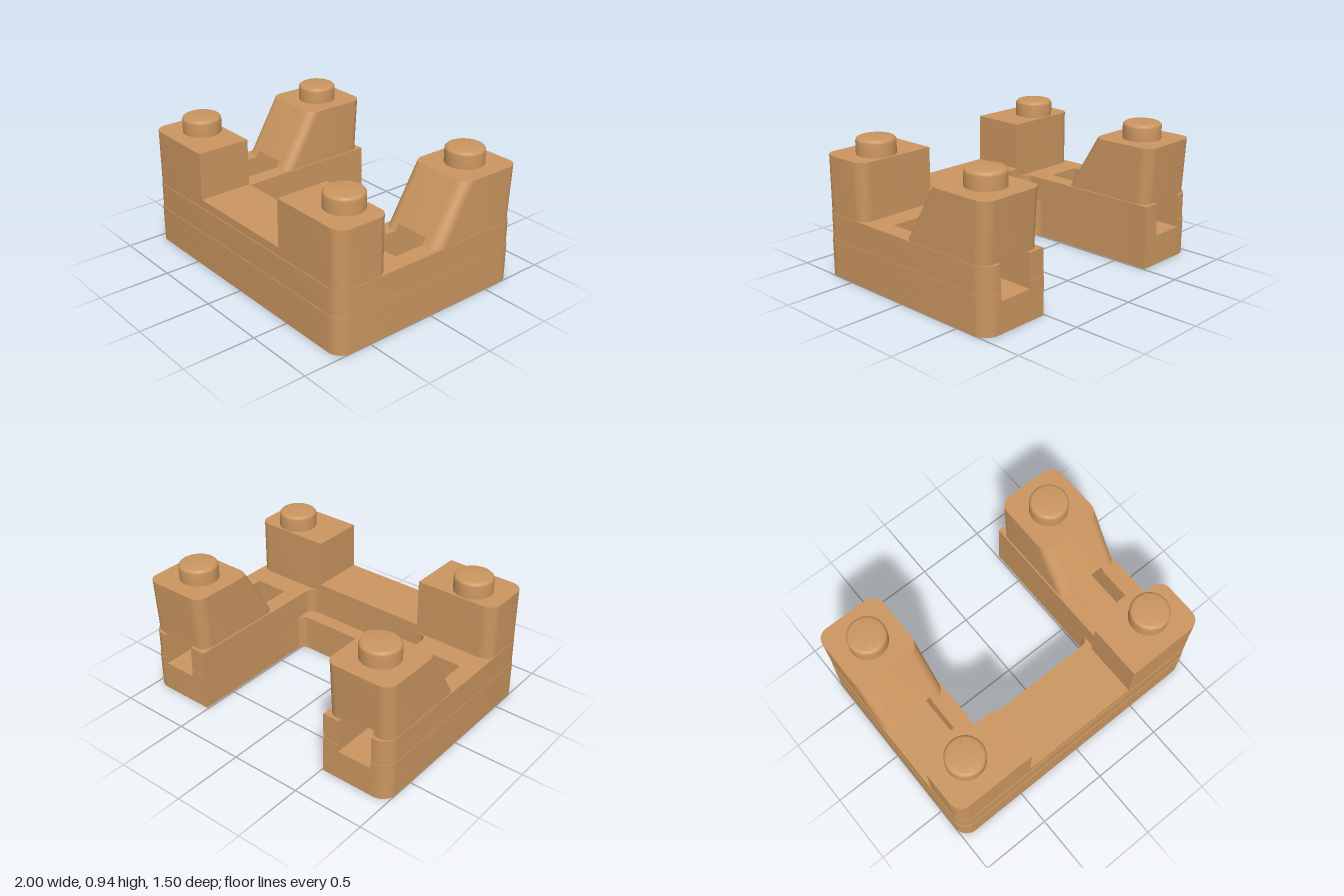
import * as THREE from 'three';
import { toCreasedNormals } from 'three/addons/utils/BufferGeometryUtils.js';

const K = 0.4477; // handle ratio for a circular corner

// Plan outline from [x, z, cornerRadius] points (shape y = -z)
function outline(points) {
  const s = new THREE.Shape();
  const v = points.map(([x, z]) => new THREE.Vector2(x, -z));
  const n = v.length;
  v.forEach((p, i) => {
    const r = points[i][2] || 0;
    const toward = (q, d) => p.clone().add(q.clone().sub(p).setLength(d));
    const prev = v[(i + n - 1) % n], next = v[(i + 1) % n];
    const a = r ? toward(prev, r) : p;
    if (i === 0) s.moveTo(a.x, a.y); else s.lineTo(a.x, a.y);
    if (r) {
      const b = toward(next, r), c1 = toward(prev, r * K), c2 = toward(next, r * K);
      s.bezierCurveTo(c1.x, c1.y, c2.x, c2.y, b.x, b.y);
    }
  });
  s.closePath();
  return s;
}

// Upright prism between two heights
function prism(shape, y0, y1) {
  const g = new THREE.ExtrudeGeometry(shape, { depth: y1 - y0, bevelEnabled: false, curveSegments: 10 });
  g.rotateX(-Math.PI / 2);
  g.translate(0, y0, 0);
  return g;
}

// Back post slice: front side leans back into a ramp, rear side leans out a little
function leaningPrism(shape, y0, y1) {
  const g = prism(shape, y0, y1);
  const p = g.attributes.position;
  for (let i = 0; i < p.count; i++) {
    const t = (p.getY(i) - 0.44) / 0.39;
    p.setZ(i, p.getZ(i) - t * (p.getZ(i) > -0.37 ? 0.235 : 0.022));
  }
  return g;
}

// Mirror half an outline (running from the back end to the inner corner) into a U.
// The optional channel opens at the back end of each arm.
function uOutline(x, back, front, innerZ, channel) {
  const slot = [[0.875, back], [0.875, 0.2], [0.63, 0.2], [0.63, back]];
  const half = [[x, back, 0.1], ...(channel ? slot : []), [0.51, back], [0.51, innerZ, 0.06]];
  const right = half.map(([px, pz, r]) => [-px, pz, r]);
  return outline([...right, ...half.reverse(), [x, front, 0.1], [-x, front, 0.1]]);
}

export function createModel() {
  const model = new THREE.Group();
  const tan = new THREE.MeshStandardMaterial({ color: 0xcb9660 });
  tan.name = 'tan';

  const add = (name, geometry) => {
    const mesh = new THREE.Mesh(toCreasedNormals(geometry, 0.5), tan);
    mesh.name = name;
    model.add(mesh);
    return mesh;
  };

  // Lower layer: U-shaped plan with round sockets underneath
  const socketed = uOutline(1, -0.746, 0.75, 0.25, false);
  const sockets = [[-0.25, 0.5], [0.25, 0.5]];
  for (const x of [-0.75, 0.75]) for (const z of [-0.5, 0, 0.5]) sockets.push([x, z]);
  for (const [x, z] of sockets) {
    const hole = new THREE.Path();
    hole.absarc(x, -z, 0.135, 0, Math.PI * 2, false);
    socketed.holes.push(hole);
  }
  add('socketLayer', prism(socketed, 0, 0.1));
  add('lowerLayer', prism(uOutline(1, -0.746, 0.75, 0.25, false), 0.1, 0.21));

  // A channel runs in from the back of each arm, through both layers
  add('channelFloorLayer', prism(uOutline(1, -0.746, 0.75, 0.25, true), 0.21, 0.26));
  add('upperLayer', prism(uOutline(0.997, -0.742, 0.746, 0.355, true), 0.26, 0.44));

  // Low front wall
  add('frontWall', prism(outline([
    [-0.42, 0.357], [0.42, 0.357], [0.42, 0.741], [-0.42, 0.741],
  ]), 0.44, 0.5));

  // Stud profile with a rounded top edge
  const studProfile = [new THREE.Vector2(0.132, 0)];
  for (let i = 0; i <= 5; i++) {
    const a = (i / 5) * Math.PI / 2;
    studProfile.push(new THREE.Vector2(0.107 + 0.025 * Math.cos(a), 0.088 + 0.025 * Math.sin(a)));
  }
  studProfile.push(new THREE.Vector2(0, 0.113));

  for (const side of [1, -1]) {
    const label = side > 0 ? 'left' : 'right';

    // Square front post
    add(label + 'FrontPost', prism(outline([
      [side * 0.42, 0.36, 0], [side * 0.993, 0.36, 0.08],
      [side * 0.993, 0.741, 0.09], [side * 0.42, 0.741, 0],
    ]), 0.44, 0.83));

    // Back post: two feet straddle the channel and carry the sloping body
    const foot = (name, x0, x1, r0, r1) => add(label + name, leaningPrism(outline([
      [side * x0, -0.72, r0], [side * x1, -0.72, r1],
      [side * x1, -0.03, r1], [side * x0, -0.03, r0],
    ]), 0.44, 0.482));
    foot('BackPostInnerFoot', 0.52, 0.63, 0.08, 0);
    foot('BackPostOuterFoot', 0.875, 0.993, 0, 0.08);
    add(label + 'BackPost', leaningPrism(outline([
      [side * 0.52, -0.72, 0.08], [side * 0.993, -0.72, 0.08],
      [side * 0.993, -0.03, 0.08], [side * 0.52, -0.03, 0.08],
    ]), 0.482, 0.83));

    // Studs on both posts
    for (const z of [0.502, -0.502]) {
      const stud = add(label + (z > 0 ? 'FrontStud' : 'BackStud'), new THREE.LatheGeometry(studProfile, 40));
      stud.position.set(side * 0.75, 0.83, z);
    }
  }
  return model;
}
